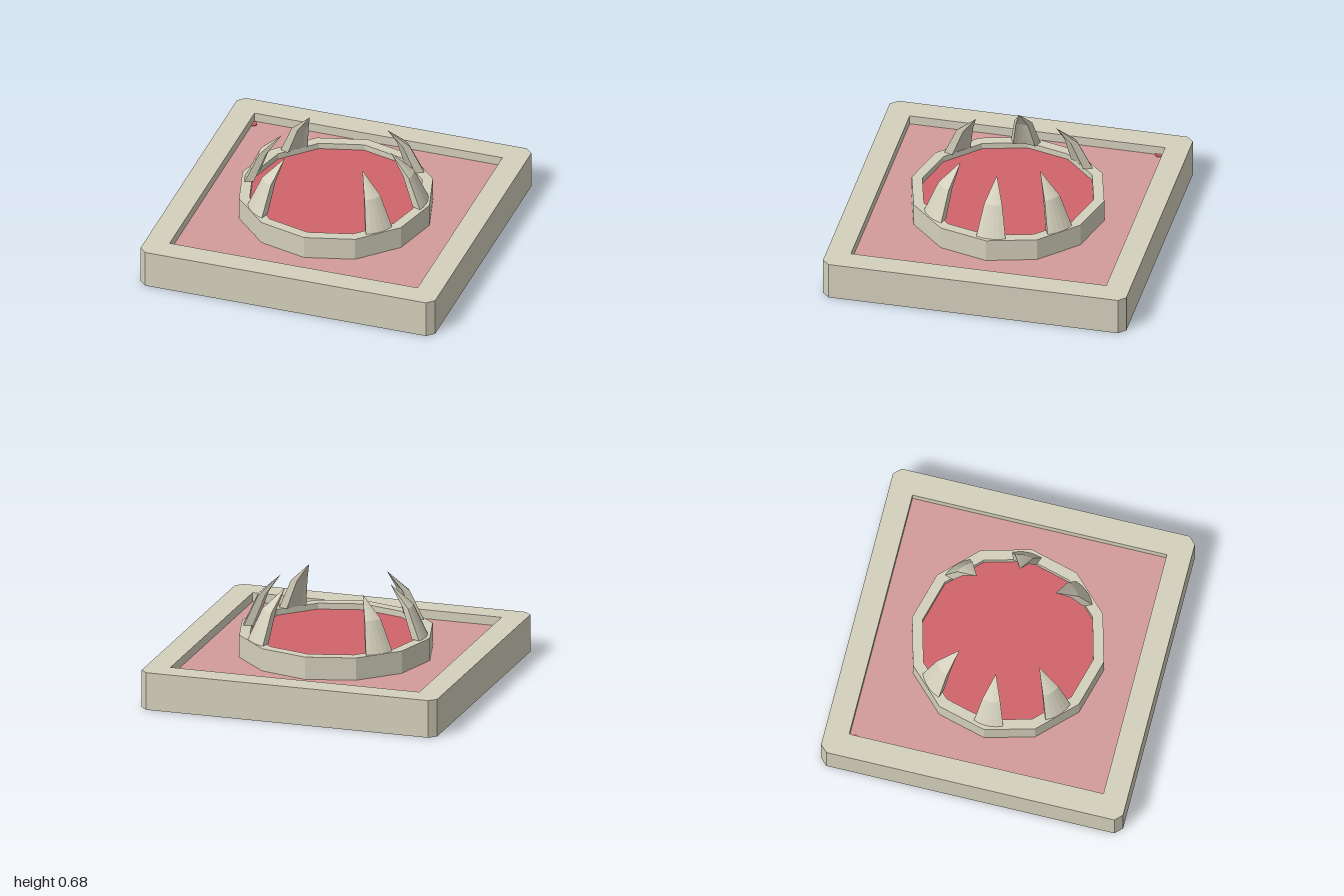
import * as THREE from 'three';
import { mergeGeometries } from 'three/addons/utils/BufferGeometryUtils.js';

const FLOOR = 0.19, RIM = 0.25, RING_TOP = 0.34;

// Points of a regular polygon with one corner on +x
function polygon(radius, sides) {
  return Array.from({ length: sides }, (_, i) => {
    const a = (i / sides) * Math.PI * 2;
    return new THREE.Vector2(radius * Math.cos(a), radius * Math.sin(a));
  });
}

// Square with cut corners
function chamferedSquare(h, c) {
  const k = h - c;
  return [[h, -k], [h, k], [k, h], [-k, h], [-h, k], [-h, -k], [-k, -h], [k, -h]]
    .map(([x, y]) => new THREE.Vector2(x, y));
}

// Upright prism from a plan outline, with an optional hole
function prism(outline, y0, y1, hole) {
  const shape = new THREE.Shape(outline);
  if (hole) shape.holes.push(new THREE.Path(hole));
  return new THREE.ExtrudeGeometry(shape, { depth: y1 - y0, bevelEnabled: false })
    .rotateX(-Math.PI / 2).translate(0, y0, 0);
}

// Hollow wedge of a pointed dome, its tip on the local axis, facing +x
function clawGeometry() {
  const profile = [[0.24, RING_TOP], [0.147, 0.54], [0, 0.675], [0.1, 0.54], [0.18, RING_TOP]]
    .map(([r, y]) => new THREE.Vector2(r, y));
  const half = 0.41, mid = Math.PI / 2;
  const skin = new THREE.LatheGeometry([...profile, profile[0].clone()], 5, mid - half, half * 2);
  const startCap = new THREE.ShapeGeometry(new THREE.Shape(profile)).rotateY(-half);
  const endCap = new THREE.ShapeGeometry(new THREE.Shape(profile)).rotateY(half);
  endCap.index.array.reverse();
  return mergeGeometries([skin, startCap, endCap]);
}

export function createModel() {
  const group = new THREE.Group();
  const material = (name, color) => {
    const m = new THREE.MeshStandardMaterial({ color, flatShading: true });
    m.name = name;
    return m;
  };
  const stone = material('pale stone', 0xd4d0bd);
  const pink = material('dusty pink', 0xd29c9b);
  const red = material('red', 0xd0646a);

  const add = (name, geometry, mat) => {
    const mesh = new THREE.Mesh(geometry, mat);
    mesh.name = name;
    group.add(mesh);
    return mesh;
  };

  // Square tray: slab, raised rim and coloured floor
  const plan = chamferedSquare(1, 0.046);
  const inset = chamferedSquare(0.842, 0);
  add('baseSlab', prism(plan, 0, FLOOR - 0.006), stone);
  add('baseRim', prism(plan, FLOOR - 0.006, RIM, inset), stone);
  add('trayFloor', prism(chamferedSquare(0.842, 0), FLOOR - 0.006, FLOOR), pink);

  // Small half-round mark against the rim
  add('floorMark', new THREE.CylinderGeometry(0.028, 0.028, 0.006, 12, 1, false, 0, Math.PI)
    .translate(-0.841, FLOOR + 0.003, -0.805), red);

  // Twelve-sided ring with its sunken disc
  add('ring', prism(polygon(0.635, 12), FLOOR, RING_TOP, polygon(0.565, 12)), stone);
  add('ringDisc', prism(polygon(0.565, 12), 0.295, 0.3), red);

  // Six claws leaning inwards: tip x, tip z, heading x, heading z
  const claw = clawGeometry();
  [
    [0.37, -0.012, 0.225, -0.011], [-0.365, 0.011, -0.228, 0.006],
    [0.255, -0.27, 0.15, -0.167], [-0.255, 0.27, -0.15, 0.163],
    [0.265, 0.25, 0.168, 0.153], [-0.265, -0.255, -0.165, -0.155],
  ].forEach(([x, z, dx, dz], i) => {
    const mesh = add(`claw${i + 1}`, claw, stone);
    mesh.position.set(x, 0, z);
    mesh.rotation.y = Math.atan2(-dz, dx);
  });

  return group;
}
